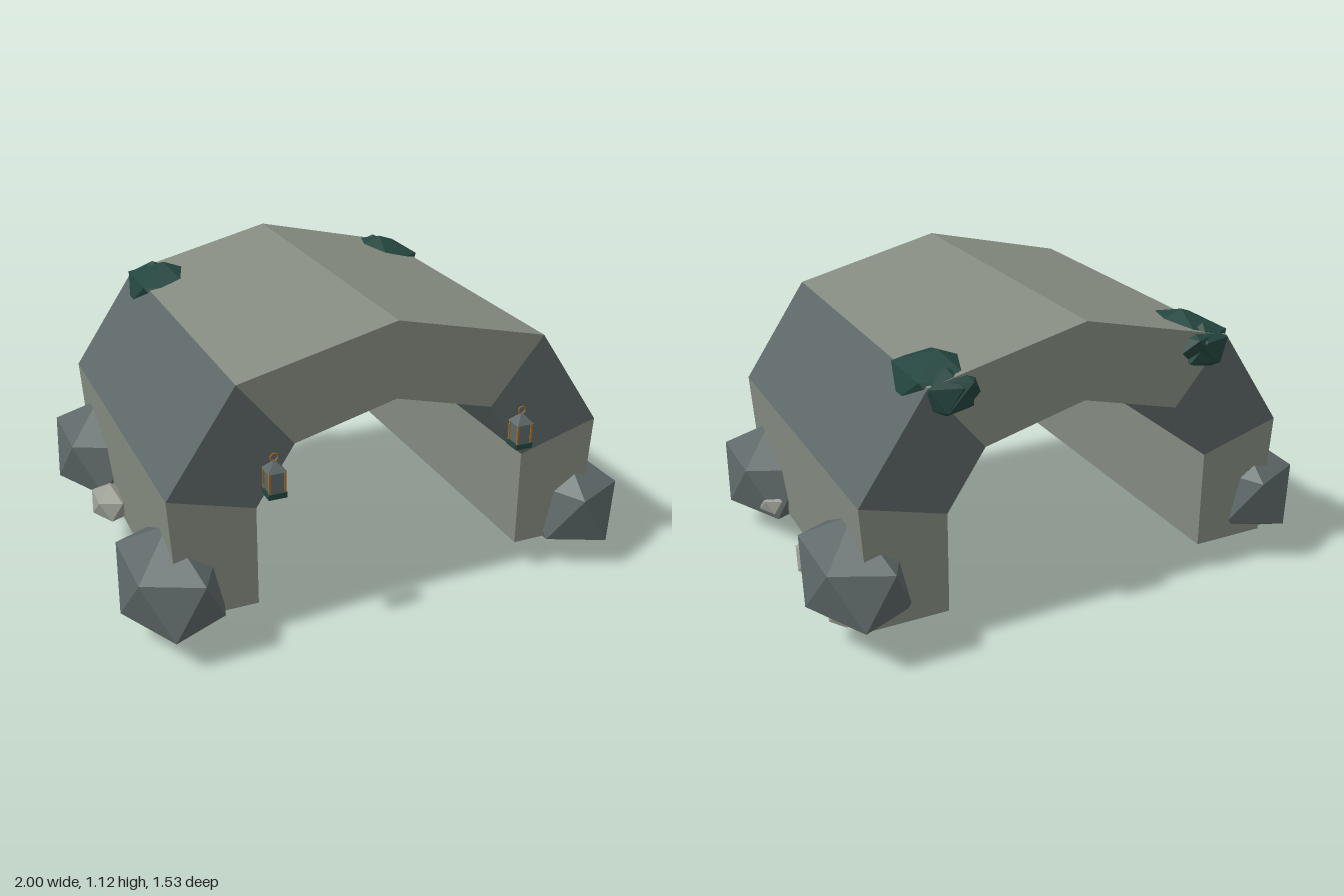
import * as THREE from 'three';

const paint = (name, color) => {
  const m = new THREE.MeshStandardMaterial({ color });
  m.name = name;
  return m;
};

export function createModel() {
  const stone = paint('pale stone', 0x848b80);
  const darkStone = paint('slate stone', 0x5d6767);
  const pebbleStone = paint('light pebble', 0x999c92);
  const moss = paint('dark moss', 0x24453f);
  const brass = paint('brass', 0xa06e2c);

  const model = new THREE.Group();
  model.name = 'stoneArch';

  const add = (parent, name, geometry, material, x = 0, y = 0, z = 0) => {
    const mesh = new THREE.Mesh(geometry, material);
    mesh.name = name;
    mesh.position.set(x, y, z);
    parent.add(mesh);
    return mesh;
  };

  // Arch segments: flat outlines extruded from back to front
  const archBlock = (name, points, material) => {
    const shape = new THREE.Shape(points.map(([x, y]) => new THREE.Vector2(x, y)));
    const geometry = new THREE.ExtrudeGeometry(shape, { depth: 1.325, bevelEnabled: false });
    add(model, name, geometry, material, 0, 0, -0.68);
  };
  archBlock('crown', [[0, 1.12], [-0.59, 0.98], [-0.385, 0.73], [0, 0.83], [0.385, 0.73], [0.59, 0.98]], stone);

  // Faceted lump standing on a corner, with one upper corner pointing outward
  const lump = new THREE.IcosahedronGeometry(1, 0);
  lump.rotateZ(Math.atan(2 / (1 + Math.sqrt(5))));

  // name, material, centre, radii
  const lumps = [
    ['frontBoulder', darkStone, [0.813, 0.218, 0.51], [0.209, 0.218, 0.3]],
    ['backBoulder', darkStone, [0.813, 0.275, -0.512], [0.209, 0.218, 0.3]],
    ['middlePebble', pebbleStone, [0.854, 0.175, -0.205], [0.086, 0.078, 0.122]],
    ['frontPebble', pebbleStone, [0.868, 0.17, 0.33], [0.06, 0.056, 0.088]],
    ['backPebble', pebbleStone, [0.868, 0.14, -0.55], [0.07, 0.045, 0.075]],
    ['mossClump', moss, [0.49, 0.942, -0.53], [0.168, 0.108, 0.224]],
    ['hangingMoss', moss, [0.51, 0.935, -0.64], [0.11, 0.09, 0.094]],
  ];

  // Lantern parts
  const base = new THREE.BoxGeometry(0.068, 0.02, 0.068);
  const body = new THREE.BoxGeometry(0.054, 0.08, 0.054);
  const post = new THREE.BoxGeometry(0.007, 0.08, 0.007);
  const roof = new THREE.ConeGeometry(0.048, 0.038, 4).rotateY(Math.PI / 4).toNonIndexed();
  roof.computeVertexNormals();
  const ring = new THREE.TorusGeometry(0.014, 0.003, 5, 10);

  for (const side of [1, -1]) {
    const label = side > 0 ? 'left' : 'right';

    archBlock(label + 'Leg', [[0.53, 0.125], [0.82, 0.125], [0.848, 0.6], [0.53, 0.51]].map(([x, y]) => [x * side, y]), stone);
    archBlock(label + 'Shoulder', [[0.53, 0.51], [0.848, 0.6], [0.59, 0.98], [0.385, 0.73]].map(([x, y]) => [x * side, y]), darkStone);

    for (const [name, material, [x, y, z], radii] of lumps) {
      const mesh = add(model, label + '_' + name, lump, material, x * side, y, z);
      mesh.scale.set(...radii);
      mesh.rotation.y = side > 0 ? 0 : Math.PI;
    }

    const lantern = new THREE.Group();
    lantern.name = label + 'Lantern';
    lantern.position.set(0.482 * side, 0.58, 0.7);
    model.add(lantern);
    add(lantern, 'lanternBase', base, moss, 0, 0.01, 0);
    add(lantern, 'lanternBody', body, darkStone, 0, 0.058, 0);
    for (const px of [-0.028, 0.028])
      for (const pz of [-0.028, 0.028]) add(lantern, 'lanternPost', post, brass, px, 0.058, pz);
    add(lantern, 'lanternRoof', roof, darkStone, 0, 0.115, 0);
    add(lantern, 'lanternRing', ring, brass, 0, 0.143, 0);
  }
  return model;
}
